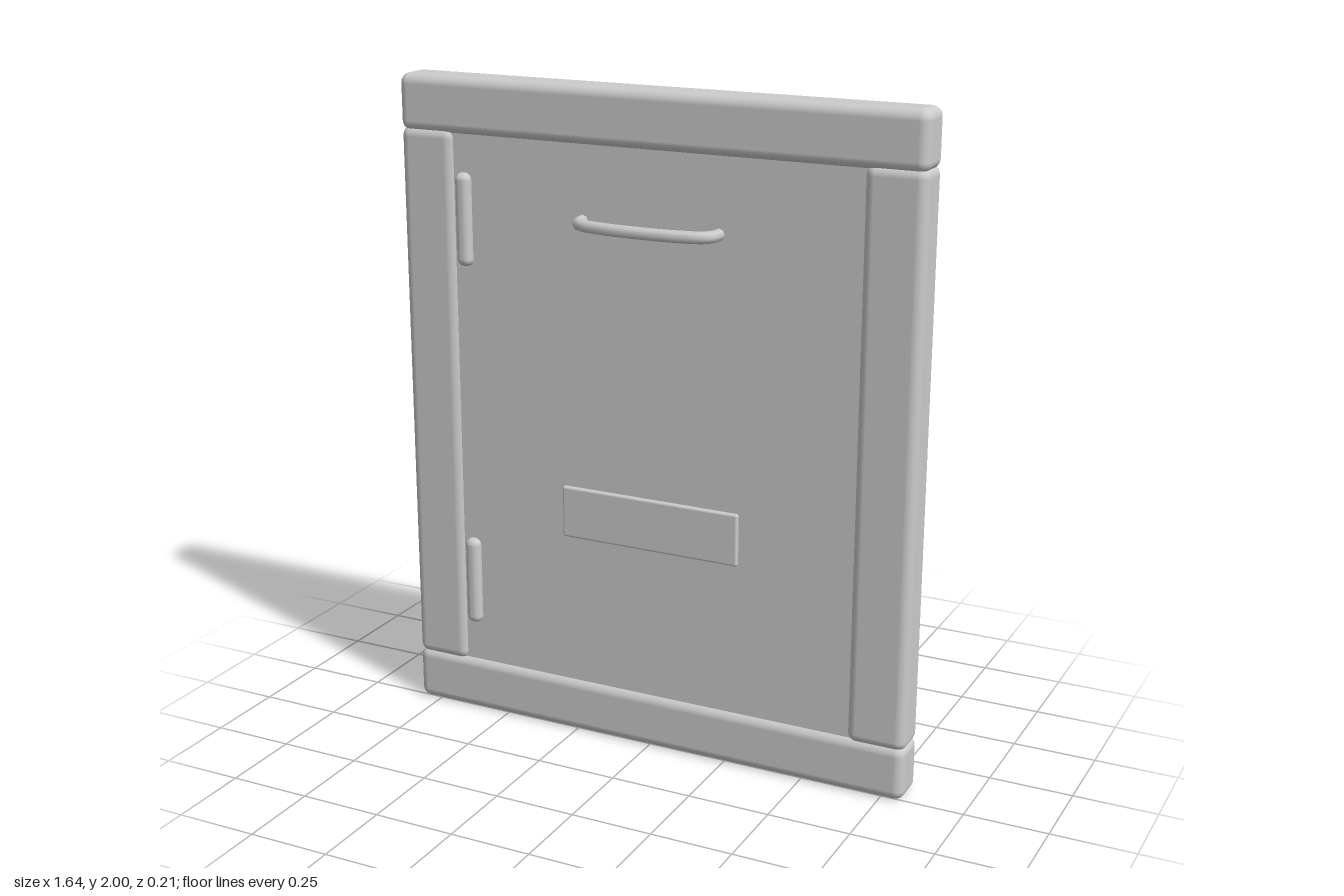
import * as THREE from 'three';
import { RoundedBoxGeometry } from 'three/addons/geometries/RoundedBoxGeometry.js';

const grey = new THREE.MeshStandardMaterial({ color: 0xcccccc });

export function createModel() {
  const model = new THREE.Group();

  const add = (name, geometry, x, y, z) => {
    const mesh = new THREE.Mesh(geometry, grey);
    mesh.name = name;
    mesh.position.set(x, y, z);
    model.add(mesh);
    return mesh;
  };
  const rounded = (w, h, d, r) => new RoundedBoxGeometry(w, h, d, 4, r);

  // Frame: full-width rails above and below, stiles between them
  const frameZ = -0.042;
  add('topRail', rounded(1.64, 0.17, 0.124, 0.03), 0, 1.915, frameZ);
  add('bottomRail', rounded(1.64, 0.17, 0.124, 0.03), 0, 0.085, frameZ);
  for (const side of [-1, 1]) {
    add(side > 0 ? 'leftStile' : 'rightStile',
      rounded(0.18, 1.69, 0.122, 0.03), side * 0.73, 1.0, frameZ);
  }

  // Door panel, slightly recessed on both faces
  add('doorPanel', new THREE.BoxGeometry(1.34, 1.72, 0.092), 0, 1.0, frameZ);

  // Hinge knuckles along the model's right stile
  for (const [name, y] of [['topHinge', 1.58], ['bottomHinge', 0.435]]) {
    add(name, rounded(0.05, 0.28, 0.05, 0.022), -0.61, y, 0.004);
  }

  // Blank label plate
  add('labelPlate', rounded(0.575, 0.16, 0.03, 0.007), 0, 0.718, 0.002);

  // Bowed pull handle, with short legs running into the panel
  const half = [[0.215, -0.01], [0.213, 0.03], [0.195, 0.058], [0.12, 0.078], [0, 0.085]];
  const points = [
    ...half.map(([x, z]) => new THREE.Vector3(-x, 0, z)),
    ...half.slice(0, -1).reverse().map(([x, z]) => new THREE.Vector3(x, 0, z)),
  ];
  const path = new THREE.CatmullRomCurve3(points, false, 'centripetal');
  add('handle', new THREE.TubeGeometry(path, 40, 0.018, 8, false), 0, 1.612, 0);

  return model;
}
